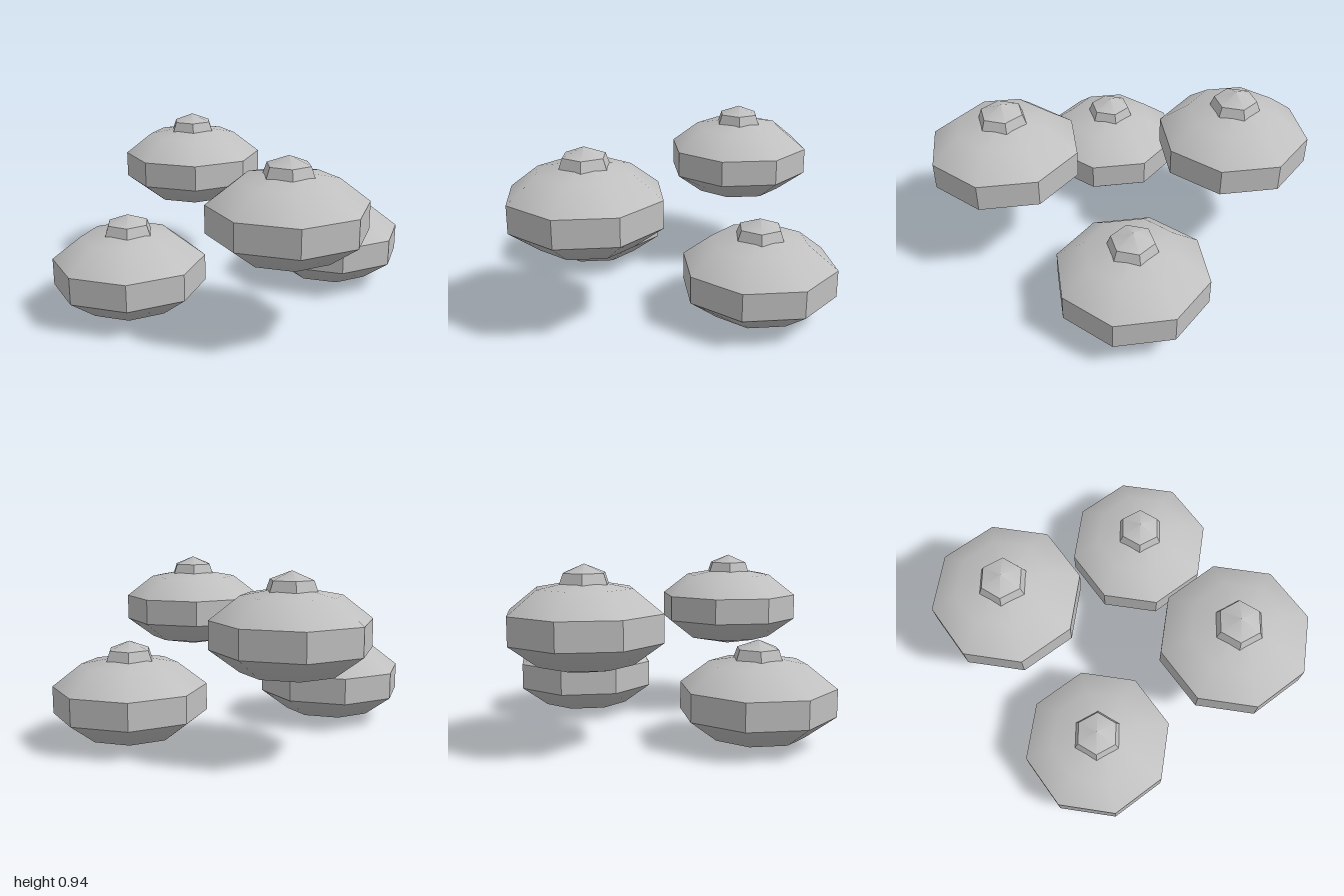
import * as THREE from 'three';

const shell = new THREE.MeshStandardMaterial({ color: 0xc0c0c0 });
shell.name = 'shellGrey';

// Separate the faces so each one is shaded flat
function faceted(geometry) {
  const flat = geometry.toNonIndexed();
  flat.computeVertexNormals();
  return flat;
}

// Smooth dome from a few [radius, height] points, listed bottom to top
function dome(points, sides) {
  return new THREE.LatheGeometry(points.map(([r, y]) => new THREE.Vector2(r, y)), sides);
}

// Open faceted band between two heights
function band(rTop, rBottom, y0, y1, sides) {
  const g = new THREE.CylinderGeometry(rTop, rBottom, y1 - y0, sides, 1, true);
  g.translate(0, (y0 + y1) / 2, 0);
  return faceted(g);
}

const parts = {
  underside: dome([[0, 0], [0.255, 0.05], [0.41, 0.165]], 8),
  belt: band(0.41, 0.41, 0.165, 0.31, 8),
  upperDome: dome([[0.41, 0.31], [0.255, 0.43], [0, 0.475]], 8),
  knobWall: band(0.116, 0.14, 0.44, 0.505, 6),
  knobCap: dome([[0.116, 0.505], [0, 0.55]], 6),
};

function saucer() {
  const group = new THREE.Group();
  for (const [name, geometry] of Object.entries(parts)) {
    const mesh = new THREE.Mesh(geometry, shell);
    mesh.name = name;
    group.add(mesh);
  }
  return group;
}

export function createModel() {
  const model = new THREE.Group();
  model.name = 'saucerCluster';
  // Four saucers in a pinwheel, alternating low and high
  const places = [
    ['lowRightSaucer', -0.59, 0, 0.212],
    ['highBackSaucer', -0.215, 0.395, -0.59],
    ['lowLeftSaucer', 0.59, 0, -0.215],
    ['highFrontSaucer', 0.212, 0.395, 0.59],
  ];
  for (const [name, x, y, z] of places) {
    const s = saucer();
    s.name = name;
    s.position.set(x, y, z);
    model.add(s);
  }
  return model;
}
